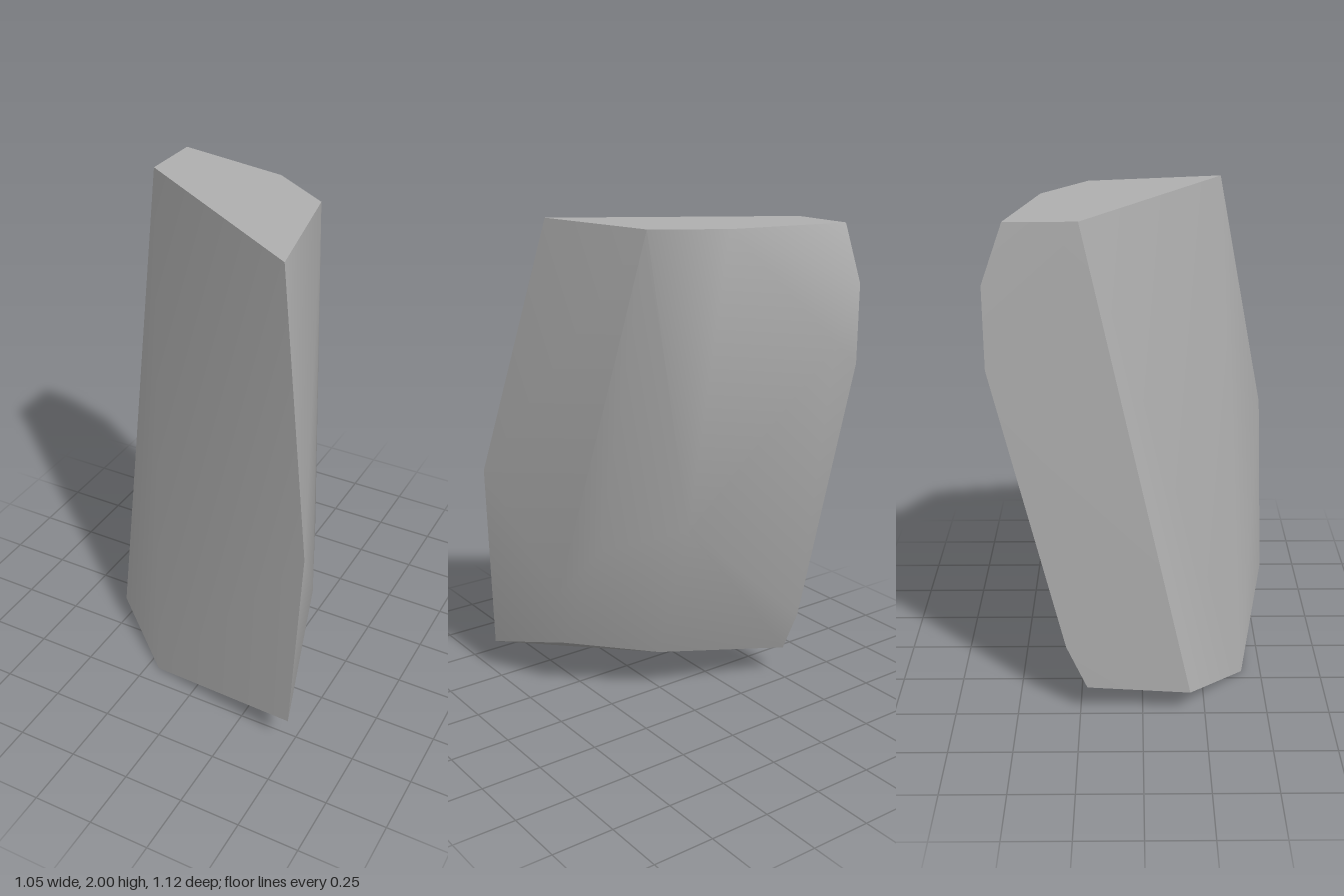
import * as THREE from 'three';
import { ConvexGeometry } from 'three/addons/geometries/ConvexGeometry.js';
import { toCreasedNormals } from 'three/addons/utils/BufferGeometryUtils.js';

export function createModel() {
  const group = new THREE.Group();
  group.name = 'rockShard';
  const stone = new THREE.MeshStandardMaterial({ color: 0xb0b0b0 });
  stone.name = 'stoneGrey';

  const corners = [
    // flat top
    [-0.52, 2, -0.48], [-0.04, 2, -0.38], [0.21, 2, -0.21], [0.32, 2, 0.32], [-0.52, 2, -0.22],
    // broad front slab
    [0.525, 0.95, 0.53], [0.49, 0.14, 0.56], [-0.2, 0, 0.42], [-0.505, 0.1, 0.19],
    // rear edge of the flat side
    [-0.53, 1.78, -0.56], [-0.53, 1.47, -0.56], [-0.515, 0.32, -0.3], [-0.51, 0.13, -0.22],
    // rounded back
    [-0.42, 1.56, -0.56], [0.08, 0.83, -0.3], [0.32, 0.71, -0.02], [0.4, 0.48, 0.16],
    // rim of the underside
    [0.35, 0.23, 0.21], [0.04, 0.2, -0.05],
  ].map((p) => new THREE.Vector3(...p));

  // Convex chunk, smooth on worn faces and sharp on broken edges
  const geometry = toCreasedNormals(new ConvexGeometry(corners), 0.6);
  const rock = new THREE.Mesh(geometry, stone);
  rock.name = 'rock';
  group.add(rock);
  return group;
}
